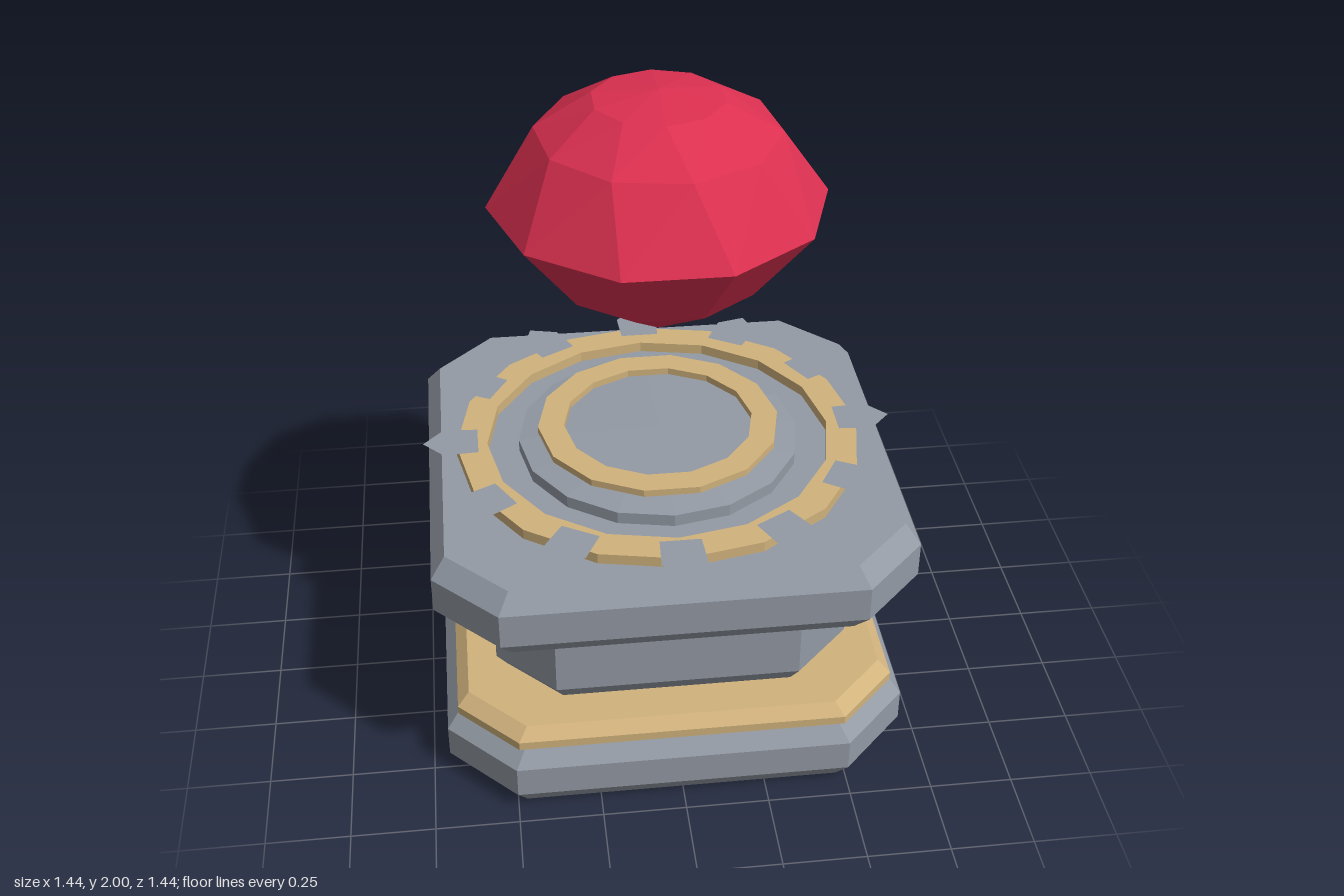
import * as THREE from 'three';

const stone = new THREE.MeshStandardMaterial({ color: 0x939aa4 });
stone.name = 'grey stone';
const gold = new THREE.MeshStandardMaterial({ color: 0xd0b27c });
gold.name = 'pale gold';
const ruby = new THREE.MeshStandardMaterial({ color: 0xdc3050 });
ruby.name = 'ruby red';
const plate = stone.clone();
plate.name = 'grey stone plate';
plate.side = THREE.DoubleSide;

// Joins loops of [x, y, z] points, bottom to top, into a faceted skin
function loft(name, loops, material) {
  const pos = [];
  const n = loops[0].length;
  for (let s = 0; s < loops.length - 1; s++) {
    for (let i = 0; i < n; i++) {
      const j = (i + 1) % n;
      const a = loops[s][i], b = loops[s][j], c = loops[s + 1][i], d = loops[s + 1][j];
      pos.push(...a, ...c, ...b, ...b, ...c, ...d);
    }
  }
  const geo = new THREE.BufferGeometry();
  geo.setAttribute('position', new THREE.Float32BufferAttribute(pos, 3));
  geo.computeVertexNormals();
  const mesh = new THREE.Mesh(geo, material);
  mesh.name = name;
  return mesh;
}

// Regular polygon loop
function ngon(n, r, y, twist = 0) {
  return Array.from({ length: n }, (_, i) => {
    const t = twist + (i / n) * Math.PI * 2;
    return [r * Math.cos(t), y, r * Math.sin(t)];
  });
}

// Square loop with cut corners; h is the half width, k the flat share of each side
function cutSquare(h, k, y) {
  const c = h * k;
  return [[h, -c], [h, c], [c, h], [-c, h], [-h, c], [-h, -c], [-c, -h], [c, -h]]
    .map(([x, z]) => [x, y, z]);
}

// Capped block from [half width, height] steps
function block(name, k, steps, material) {
  const first = steps[0], last = steps[steps.length - 1];
  const all = [[0, first[1]], ...steps, [0, last[1]]];
  return loft(name, all.map(([h, y]) => cutSquare(h, k, y)), material);
}

// Flat band with a square section
function band(name, n, outer, inner, y0, y1) {
  const section = [[inner, y0], [outer, y0], [outer, y1], [inner, y1], [inner, y0]];
  return loft(name, section.map(([r, y]) => ngon(n, r, y)), gold);
}

export function createModel() {
  const model = new THREE.Group();
  model.name = 'gemPedestal';

  // Stacked pedestal blocks
  model.add(
    block('baseSlab', 0.715, [[0.66, 0], [0.7, 0.06], [0.7, 0.16], [0.66, 0.21]], stone),
    block('baseTrim', 0.735, [[0.665, 0.21], [0.665, 0.237], [0.63, 0.27]], gold),
    block('column', 0.68, [[0.51, 0.27], [0.54, 0.32], [0.54, 0.565], [0.515, 0.597]], stone),
    block('topSlab', 0.74, [[0.665, 0.595], [0.71, 0.655], [0.71, 0.765], [0.668, 0.822]], stone),
  );

  // Round altar top
  model.add(
    band('outerRing', 16, 0.622, 0.527, 0.815, 0.855),
    loft('altarDisc', [[0.43, 0.815], [0.43, 0.86], [0.33, 0.873], [0, 0.876]]
      .map(([r, y]) => ngon(16, r, y)), stone),
    band('innerRing', 14, 0.37, 0.29, 0.883, 0.905),
  );

  // Twelve flat pointed studs around the outer ring
  const outline = [[0.555, -0.06], [0.66, -0.066], [0.722, 0], [0.66, 0.066], [0.555, 0.06]];
  const studGeo = new THREE.ShapeGeometry(new THREE.Shape(outline.map(([x, y]) => new THREE.Vector2(x, y))));
  studGeo.rotateX(-Math.PI / 2);
  const studs = new THREE.Group();
  studs.name = 'studs';
  for (let i = 0; i < 12; i++) {
    const stud = new THREE.Mesh(studGeo, plate);
    stud.name = 'stud';
    stud.position.y = 0.868;
    stud.rotation.y = (i * Math.PI) / 6;
    studs.add(stud);
  }
  model.add(studs);

  // Floating cut gem: each crown tier is turned a little
  const turn = Math.PI / 20;
  model.add(loft('gem', [
    ngon(10, 0, 1.235),
    ngon(10, 0.31, 1.437),
    ngon(10, 0.49, 1.665),
    ngon(10, 0.35, 1.88, turn),
    ngon(10, 0.19, 1.975, turn * 2),
    ngon(10, 0, 2, turn * 2),
  ], ruby));

  return model;
}
